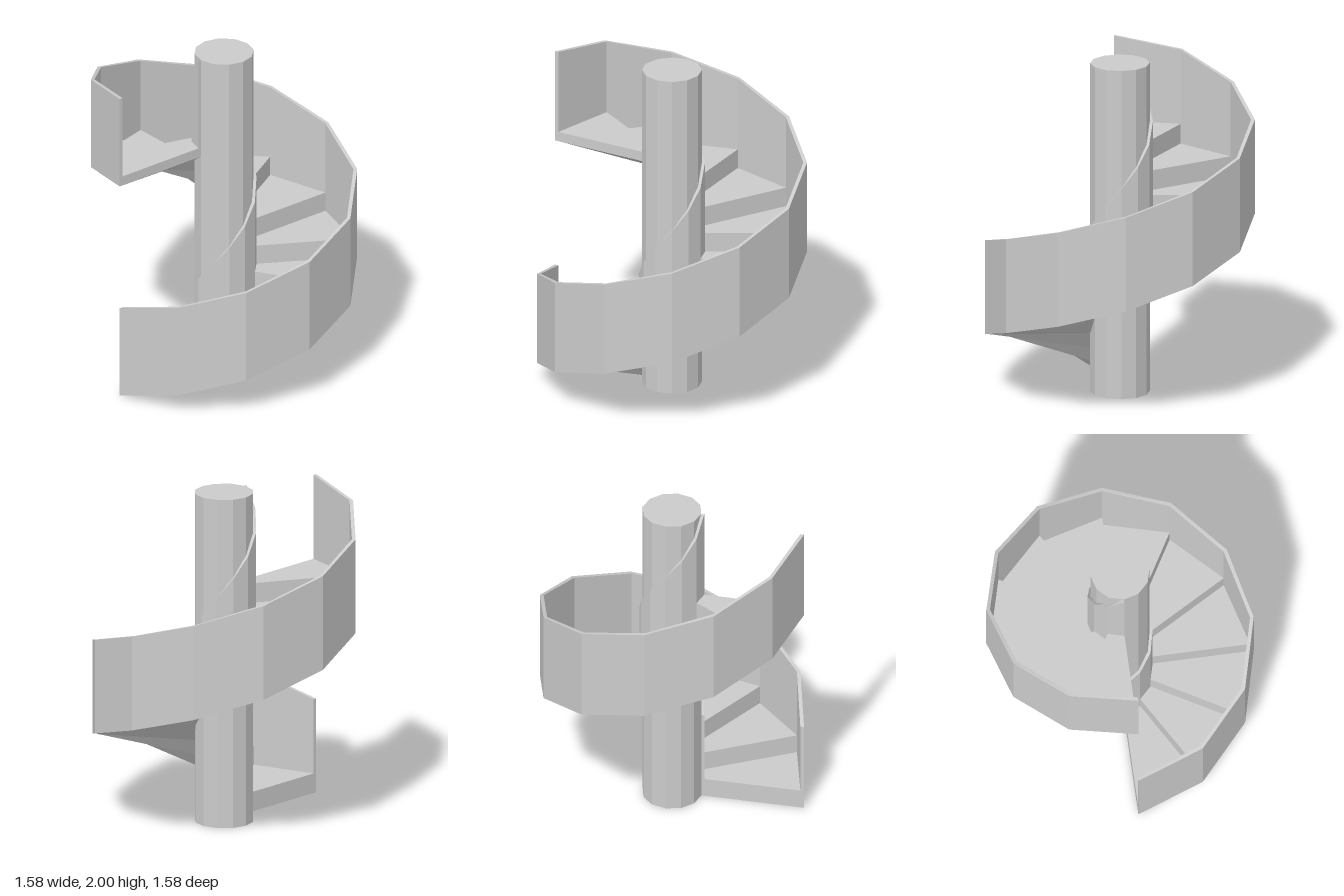
import * as THREE from 'three';

const STEPS = 12;
const RISE = 0.119;          // height gained per step
const RAIL = 0.572;          // parapet height above the underside
const R_COLUMN = 0.175, R_INNER = 0.193, R_RAIL = 0.768, R_OUTER = 0.79;

const material = new THREE.MeshStandardMaterial({ color: 0xcccccc, flatShading: true });

// The underside levels off to half a rise at the last station
const underside = i => (i === STEPS ? i - 0.5 : i) * RISE;

// Sweeps a rectangular section r0..r1 around the axis.
// Each station is [step index, bottom height, top height].
function sweep(name, r0, r1, stations) {
  const positions = [];
  const rings = stations.map(([i, bottom, top]) => {
    const a = (i / STEPS) * Math.PI * 2;
    return [[r0, bottom], [r1, bottom], [r1, top], [r0, top]].map(
      ([r, y]) => new THREE.Vector3(r * Math.sin(a), y, r * Math.cos(a)));
  });
  const tri = (a, b, c) => {
    if (new THREE.Triangle(a, b, c).getArea() < 1e-8) return;
    for (const p of [a, b, c]) positions.push(p.x, p.y, p.z);
  };
  const quad = (a, b, c, d) => { tri(a, b, c); tri(a, c, d); };

  for (let s = 0; s < rings.length - 1; s++) {
    const p = rings[s], q = rings[s + 1];
    for (let j = 0; j < 4; j++) {
      const k = (j + 1) % 4;
      quad(p[j], q[j], q[k], p[k]);
    }
  }
  quad(...rings[0]);
  quad(...[...rings[rings.length - 1]].reverse());

  const geometry = new THREE.BufferGeometry();
  geometry.setAttribute('position', new THREE.Float32BufferAttribute(positions, 3));
  geometry.computeVertexNormals();
  const mesh = new THREE.Mesh(geometry, material);
  mesh.name = name;
  return mesh;
}

export function createModel() {
  const model = new THREE.Group();
  model.name = 'spiralStaircase';

  // Central column
  const column = new THREE.Mesh(new THREE.CylinderGeometry(R_COLUMN, R_COLUMN, 2, 12), material);
  column.name = 'column';
  column.position.y = 1;
  model.add(column);

  // Wedge steps: flat tread on top, sloping soffit below
  const steps = new THREE.Group();
  steps.name = 'steps';
  for (let i = 0; i < STEPS; i++) {
    const tread = (i + 1) * RISE;
    steps.add(sweep('step', R_COLUMN - 0.01, R_RAIL + 0.001, [
      [i, underside(i), tread],
      [i + 1, underside(i + 1), tread],
    ]));
  }
  model.add(steps);

  // Parapets: outer one levels off at the landing, inner one keeps climbing
  const indices = Array.from({ length: STEPS + 1 }, (_, i) => i);
  model.add(sweep('outerParapet', R_RAIL, R_OUTER,
    indices.map(i => [i, underside(i), underside(i) + RAIL])));
  model.add(sweep('innerParapet', R_COLUMN - 0.005, R_INNER,
    indices.map(i => [i, underside(i), i * RISE + RAIL])));

  return model;
}
